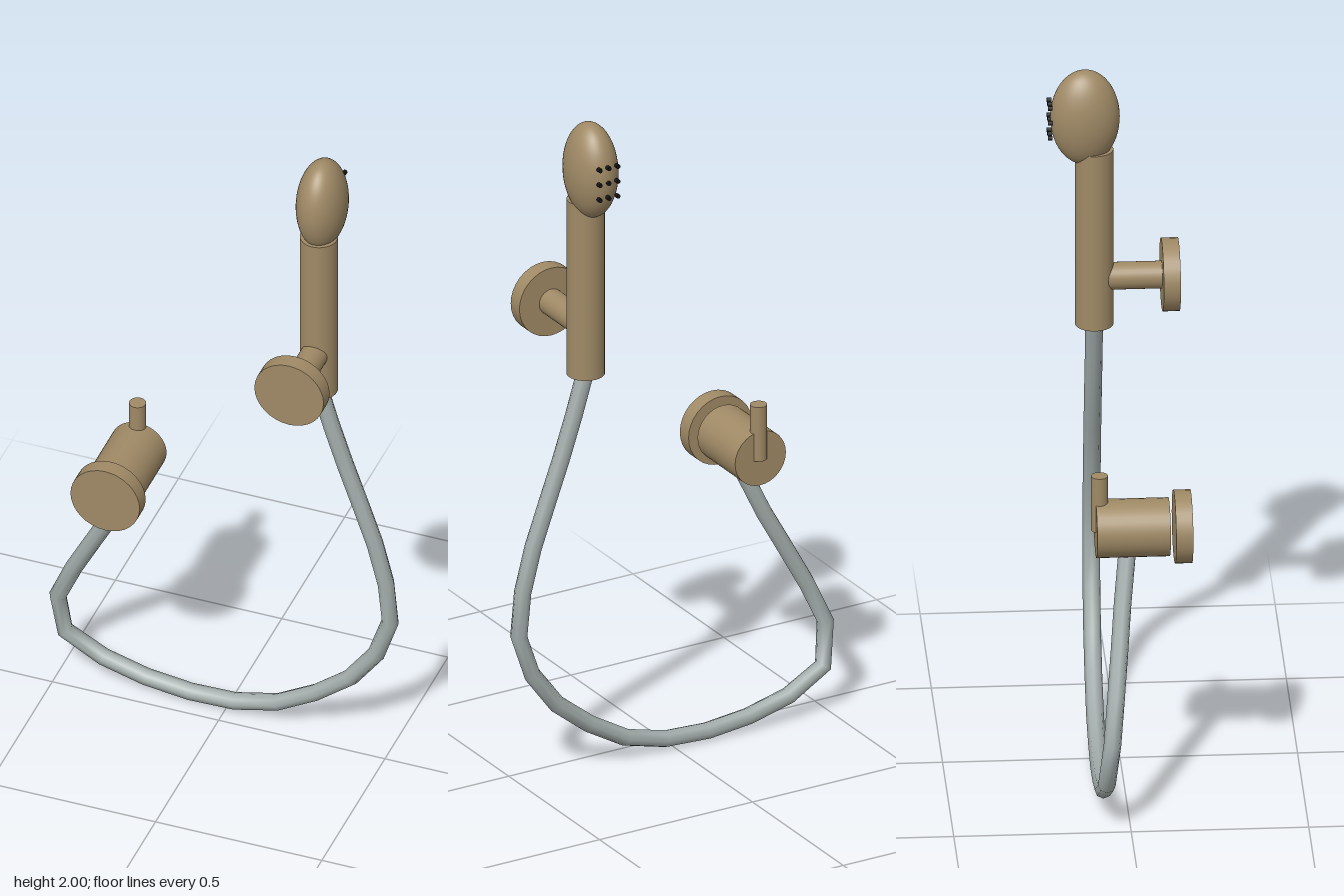
import * as THREE from 'three';

export function createModel() {
  const group = new THREE.Group();
  group.name = 'handShower';

  const bronze = new THREE.MeshStandardMaterial({ color: 0xa08a66 });
  bronze.name = 'brushed bronze';
  const steel = new THREE.MeshStandardMaterial({ color: 0xa3adab, side: THREE.DoubleSide });
  steel.name = 'hose grey';
  const black = new THREE.MeshStandardMaterial({ color: 0x141414 });
  black.name = 'nozzle black';

  const add = (name, geometry, material, x, y, z, parent = group) => {
    const mesh = new THREE.Mesh(geometry, material);
    mesh.name = name;
    mesh.position.set(x, y, z);
    parent.add(mesh);
    return mesh;
  };
  // Cylinder along z between two depths
  const rodZ = (name, r, x, y, z0, z1, material = bronze, sides = 32, parent = group) =>
    add(name, new THREE.CylinderGeometry(r, r, z1 - z0, sides).rotateX(Math.PI / 2),
      material, x, y, (z0 + z1) / 2, parent);
  // Upright cylinder between two heights
  const rodY = (name, r, x, z, y0, y1) =>
    add(name, new THREE.CylinderGeometry(r, r, y1 - y0, 32), bronze, x, (y0 + y1) / 2, z);

  const headX = 0.281, valveX = -0.272;

  // Holder: wall flange and arm
  rodZ('holderFlange', 0.104, headX, 1.363, 0.135, 0.183);
  rodZ('holderArm', 0.039, headX, 1.363, -0.05, 0.14);

  // Handset: handle and egg-shaped head
  rodY('handle', 0.054, headX, -0.055, 1.217, 1.757);
  add('showerHead', new THREE.SphereGeometry(1, 40, 28).scale(0.071, 0.143, 0.098),
    bronze, headX, 1.857, -0.081);

  // Spray nozzles in a 3 x 3 grid
  const nozzles = new THREE.Group();
  nozzles.name = 'nozzles';
  group.add(nozzles);
  for (let i = -1; i <= 1; i++)
    for (let j = -1; j <= 1; j++)
      rodZ('nozzle', 0.0065, headX + i * 0.029, 1.853 + j * 0.046, -0.187, -0.174, black, 10, nozzles);

  // Valve: wall flange, body and lever
  rodZ('valveFlange', 0.104, valveX, 0.837, 0.135, 0.183);
  rodZ('valveBody', 0.083, valveX, 0.837, -0.086, 0.121);
  rodY('valveLever', 0.024, valveX, -0.075, 0.833, 1.0);

  // Hose hanging from the handle to the valve
  const path = [
    [0.281, 1.225, -0.055], [0.325, 1.077, -0.054], [0.384, 0.902, -0.053],
    [0.442, 0.743, -0.051], [0.484, 0.585, -0.05], [0.497, 0.452, -0.05],
    [0.452, 0.32, -0.052], [0.368, 0.209, -0.055], [0.267, 0.13, -0.058],
    [0.146, 0.061, -0.061], [0.024, 0.031, -0.063], [-0.114, 0.026, -0.066],
    [-0.251, 0.042, -0.068], [-0.378, 0.077, -0.07], [-0.487, 0.14, -0.068],
    [-0.503, 0.272, -0.053], [-0.452, 0.389, -0.04], [-0.389, 0.511, -0.026],
    [-0.325, 0.632, -0.013], [-0.272, 0.752, 0.002],
  ].map((p) => new THREE.Vector3(...p));
  const curve = new THREE.CatmullRomCurve3(path);
  add('hose', new THREE.TubeGeometry(curve, 20, 0.025, 8), steel, 0, 0, 0);

  return group;
}
